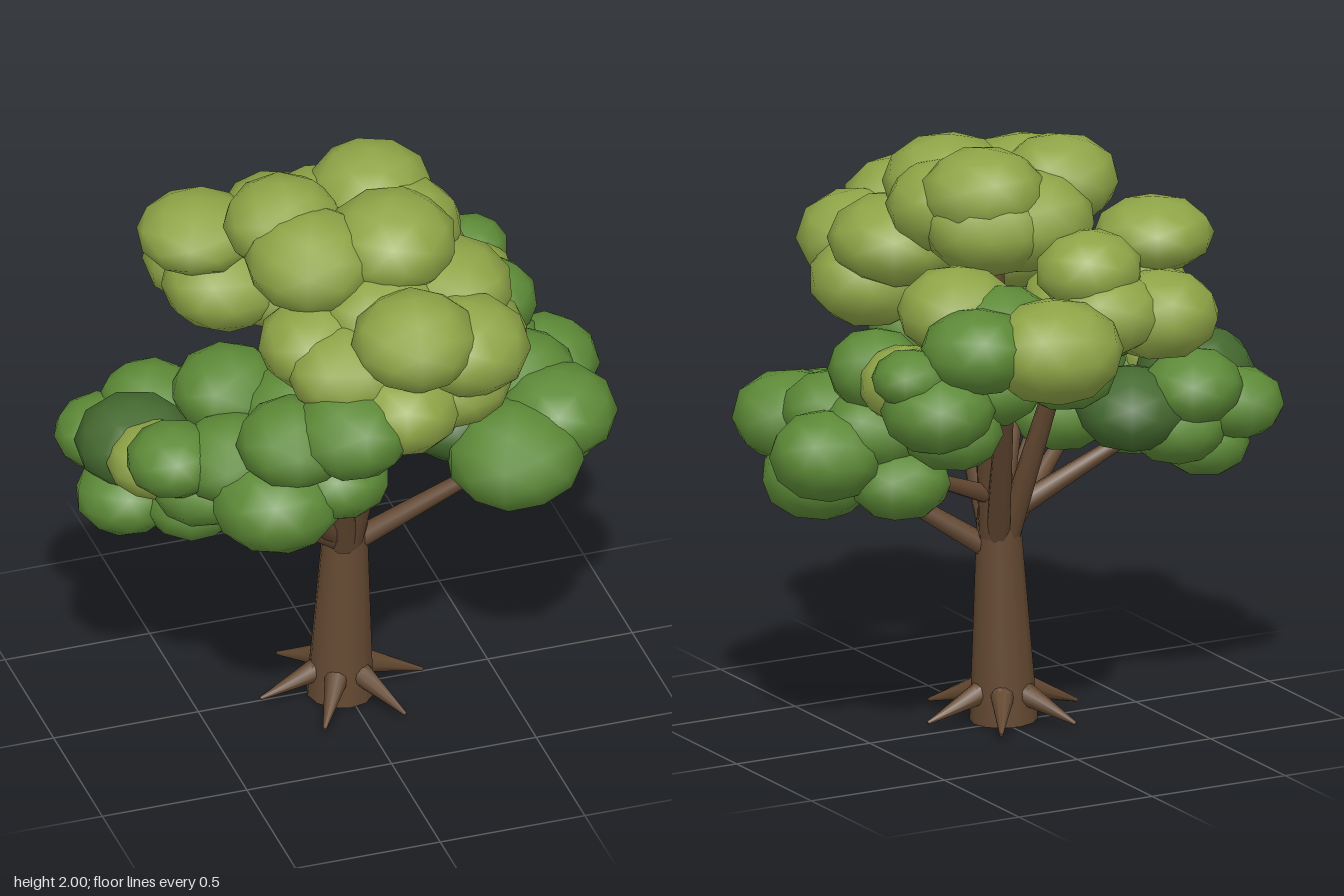
import * as THREE from 'three';

const mat = (name, color) => new THREE.MeshStandardMaterial({ name, color });

export function createModel() {
  const tree = new THREE.Group();
  tree.name = 'tree';
  const bark = mat('bark brown', 0x634831);
  const light = mat('light olive leaf', 0x8fa547);
  const mid = mat('mid green leaf', 0x5d8a37);
  const dark = mat('dark green leaf', 0x44692f);

  // Tapered round limb between two points
  const up = new THREE.Vector3(0, 1, 0);
  function limb(name, from, to, r0, r1, sides = 8) {
    const a = new THREE.Vector3(...from), b = new THREE.Vector3(...to);
    const dir = b.clone().sub(a);
    const mesh = new THREE.Mesh(new THREE.CylinderGeometry(r1, r0, dir.length(), sides), bark);
    mesh.position.copy(a).add(b).multiplyScalar(0.5);
    mesh.quaternion.setFromUnitVectors(up, dir.normalize());
    mesh.name = name;
    tree.add(mesh);
  }

  // Trunk
  limb('trunk', [-0.02, 0, 0.03], [0, 0.72, 0.03], 0.112, 0.07, 12);

  // Six pointed roots around the base
  for (let i = 0; i < 6; i++) {
    const a = i * Math.PI / 3, c = Math.cos(a), s = Math.sin(a);
    limb('root', [-0.015 + 0.085 * c, 0.1, 0.03 + 0.085 * s],
      [-0.015 + 0.28 * c, 0.025, 0.03 + 0.28 * s], 0.04, 0.006);
    const knob = new THREE.Mesh(new THREE.SphereGeometry(0.04, 8, 6), bark);
    knob.name = 'rootKnob';
    knob.position.set(-0.015 + 0.085 * c, 0.1, 0.03 + 0.085 * s);
    tree.add(knob);
  }

  // Branches: start, end, start radius
  const branches = [
    [[0.02, 0.58, 0.04], [0.46, 0.88, 0.18], 0.038],
    [[0.02, 0.77, 0.0], [0.4, 0.93, -0.12], 0.034],
    [[-0.02, 0.6, 0.05], [-0.36, 0.88, 0.22], 0.04],
    [[-0.03, 0.62, 0.06], [-0.38, 1.04, 0.36], 0.038],
    [[-0.03, 0.7, 0.06], [-0.28, 1.12, 0.36], 0.034],
    [[-0.02, 0.7, 0.02], [-0.42, 0.92, -0.06], 0.04],
    [[-0.02, 0.6, 0.07], [-0.12, 1.28, 0.32], 0.048],
    [[0.0, 0.6, 0.06], [0.06, 1.4, 0.34], 0.048],
    [[0.0, 0.64, 0.02], [0.02, 1.75, 0.03], 0.05],
    [[0.03, 0.64, 0.02], [0.17, 1.4, -0.15], 0.045],
    [[-0.02, 0.64, 0.0], [-0.12, 1.4, -0.25], 0.042],
    [[0.02, 0.64, 0.0], [0.16, 1.35, -0.32], 0.042],
  ];
  for (const [a, b, r] of branches) limb('branch', a, b, r, r * 0.6);

  // Leaf blobs: squashed, low-poly balls with smooth shading
  const ball = new THREE.IcosahedronGeometry(1, 1);
  let turn = 0;
  function foliage(name, material, blobs) {
    const group = new THREE.Group();
    group.name = name;
    for (const [x, y, z, r, h = 0.76] of blobs) {
      const blob = new THREE.Mesh(ball, material);
      blob.name = 'leafBlob';
      blob.position.set(x, y, z);
      blob.scale.set(r, r * h, r);
      blob.rotation.y = turn += 2.4;
      group.add(blob);
    }
    tree.add(group);
  }

  foliage('crownTop', light, [
    [-0.2, 1.83, -0.02, 0.2], [0.13, 1.845, -0.1, 0.21, 0.74], [0.11, 1.81, 0.17, 0.22],
    [-0.16, 1.78, 0.15, 0.22], [0.18, 1.78, 0.04, 0.21], [-0.02, 1.74, -0.12, 0.23],
    [0.12, 1.74, -0.12, 0.22],
  ]);
  foliage('frontLight', light, [
    [0.07, 1.65, 0.53, 0.21], [0.26, 1.57, 0.49, 0.215], [0.27, 1.63, 0.22, 0.235, 0.66],
    [-0.13, 1.51, 0.42, 0.2], [0.32, 1.48, 0.31, 0.21], [0.02, 1.41, 0.54, 0.2],
    [0.22, 1.43, 0.46, 0.2], [-0.18, 1.54, 0.28, 0.2], [0.04, 1.62, 0.28, 0.22],
  ]);
  foliage('frontGreen', mid, [
    [-0.16, 1.37, 0.57, 0.2], [-0.34, 1.32, 0.5, 0.19], [-0.4, 1.11, 0.5, 0.22],
    [-0.19, 1.16, 0.5, 0.18], [-0.5, 1.2, 0.35, 0.19], [-0.43, 1.3, 0.1, 0.19],
    [-0.33, 0.97, 0.2, 0.18], [0.11, 1.27, 0.36, 0.17], [-0.25, 1.28, 0.25, 0.19],
    [0.04, 1.29, 0.2, 0.16], [-0.4, 1.12, 0.25, 0.18],
  ]);
  foliage('backLight', light, [
    [0.12, 1.42, -0.56, 0.23], [-0.14, 1.49, -0.46, 0.18], [-0.33, 1.46, -0.46, 0.2],
    [-0.41, 1.68, -0.28, 0.2, 0.62], [-0.33, 1.5, -0.24, 0.21], [-0.11, 1.62, -0.38, 0.18],
    [0.3, 1.5, -0.23, 0.2], [-0.16, 1.47, -0.22, 0.19], [0.53, 1.3, -0.29, 0.155, 0.85],
  ]);
  foliage('backGreen', mid, [
    [0.36, 1.43, -0.47, 0.19], [0.49, 1.24, -0.44, 0.19], [0.42, 1.15, -0.41, 0.17],
    [0.26, 1.28, -0.38, 0.18], [0.55, 1.31, -0.13, 0.16, 0.88], [0.21, 1.46, -0.35, 0.19],
    [0.0, 1.3, -0.42, 0.17], [0.57, 1.35, -0.4, 0.13],
  ]);
  foliage('leftGreen', mid, [
    [0.73, 1.04, -0.12, 0.19, 0.8], [0.56, 1.11, -0.13, 0.18], [0.66, 1.08, 0.24, 0.2],
    [0.48, 1.01, 0.34, 0.23], [0.65, 0.91, 0.08, 0.19], [0.4, 1.1, -0.06, 0.19],
    [0.5, 0.94, -0.2, 0.17], [0.6, 1.13, 0.06, 0.18], [0.46, 0.98, 0.1, 0.19],
  ]);
  foliage('leftDark', dark, [[0.34, 1.07, 0.16, 0.18]]);
  foliage('rightGreen', mid, [
    [-0.6, 1.11, -0.2, 0.17], [-0.77, 1.03, -0.19, 0.16], [-0.69, 1.21, 0.31, 0.16],
    [-0.76, 0.92, 0.03, 0.17], [-0.57, 0.93, 0.14, 0.17], [-0.69, 0.89, -0.12, 0.15],
    [-0.58, 1.07, 0.28, 0.17], [-0.57, 0.97, -0.15, 0.17],
  ]);
  foliage('rightLight', light, [[-0.7, 1.12, 0.16, 0.165]]);
  foliage('rightDark', dark, [[-0.72, 1.1, 0.0, 0.2], [-0.42, 1.04, -0.12, 0.19]]);

  return tree;
}
